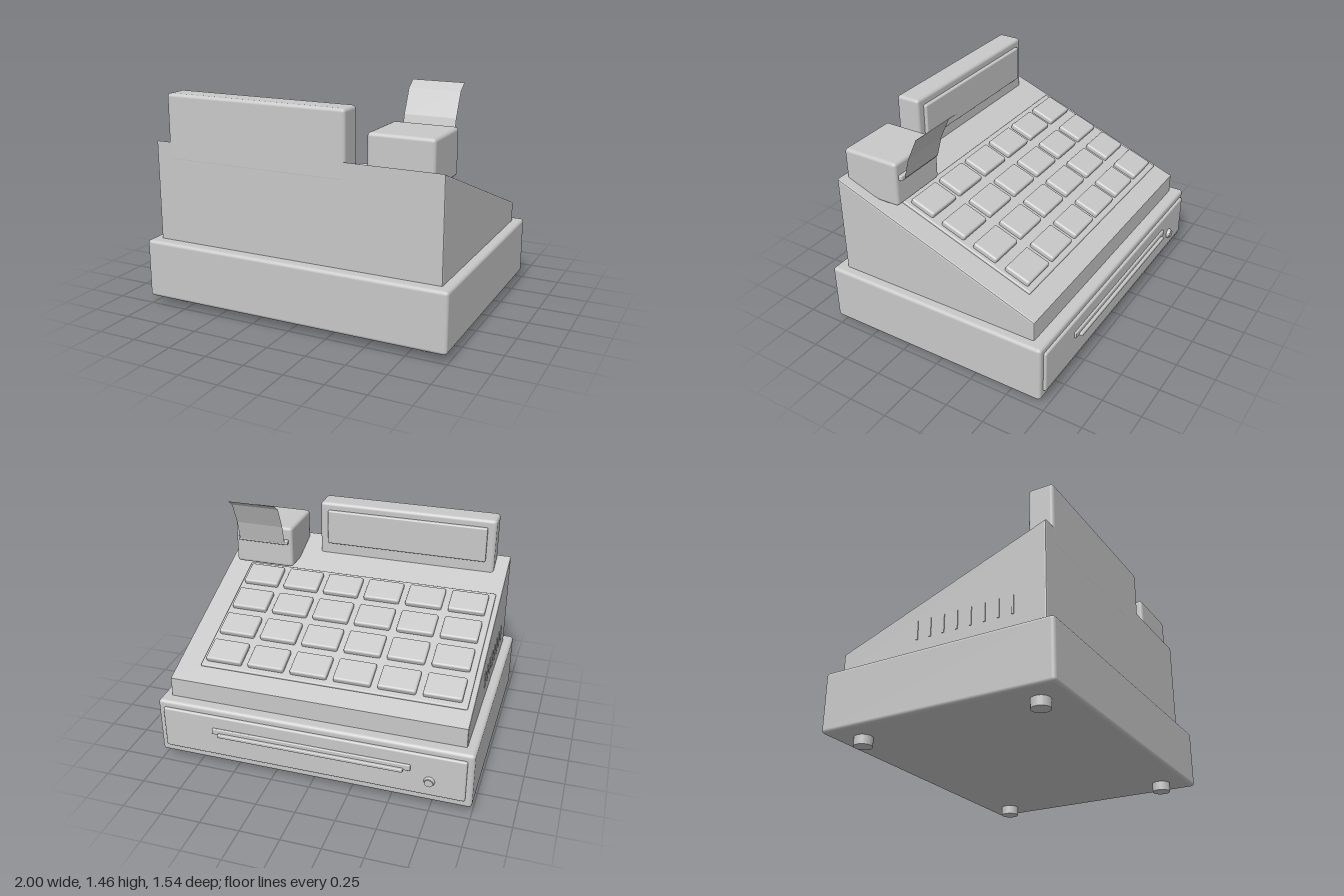
import * as THREE from 'three';
import { RoundedBoxGeometry } from 'three/addons/geometries/RoundedBoxGeometry.js';

const casing = new THREE.MeshStandardMaterial({ color: 0xc8c8c8, side: THREE.DoubleSide });
casing.name = 'grey casing';

const SLOPE = 0.375;
const TILT = Math.atan(SLOPE);
const slopeY = z => 0.555 + (z + 0.65) * SLOPE;

export function createModel() {
  const root = new THREE.Group();
  root.name = 'cashRegister';

  const add = (name, geometry, parent = root) => {
    const mesh = new THREE.Mesh(geometry, casing);
    mesh.name = name;
    parent.add(mesh);
    return mesh;
  };
  // Rounded box given by its limits on each axis
  const box = (name, [x0, x1], [y0, y1], [z0, z1], r) => {
    const mesh = add(name, new RoundedBoxGeometry(x1 - x0, y1 - y0, z1 - z0, 2, r));
    mesh.position.set((x0 + x1) / 2, (y0 + y1) / 2, (z0 + z1) / 2);
    return mesh;
  };
  // Rounded box lying on the sloped top, from height h0 to h1 above it
  const onSlope = (name, x, z, w, depth, h0, h1, r) => {
    const mesh = add(name, new RoundedBoxGeometry(w, h1 - h0, depth / Math.cos(TILT), 2, r));
    const h = (h0 + h1) / 2;
    mesh.position.set(x, slopeY(z) + h * Math.cos(TILT), z - h * Math.sin(TILT));
    mesh.rotation.x = -TILT;
    return mesh;
  };

  // Drawer base and feet
  box('drawerBase', [-1, 1], [0.056, 0.43], [-0.725, 0.77], 0.022);
  for (const x of [-0.828, 0.828]) for (const z of [-0.552, 0.597]) {
    add('foot', new THREE.CylinderGeometry(0.056, 0.056, 0.07, 24)).position.set(x, 0.035, z);
  }

  // Drawer front with its pull and lock
  box('drawerFront', [-0.96, 0.96], [0.107, 0.388], [-0.742, -0.71], 0.012);
  box('pullPlate', [-0.63, 0.63], [0.265, 0.305], [-0.755, -0.735], 0.006);
  box('pullLip', [-0.588, 0.588], [0.257, 0.28], [-0.774, -0.745], 0.006);
  const lock = new THREE.Group();
  lock.name = 'lock';
  lock.position.set(-0.745, 0.21, -0.74);
  lock.rotation.x = -Math.PI / 2;
  root.add(lock);
  add('lockRing', new THREE.CylinderGeometry(0.027, 0.035, 0.022, 24), lock).position.y = 0.009;
  add('lockCore', new THREE.CylinderGeometry(0.024, 0.024, 0.03, 24), lock).position.y = 0.01;

  // Wedge-shaped body, drawn in side profile (z, y)
  const side = new THREE.Shape([[-0.65, 0.42], [0.697, 0.42], [0.697, 1.06], [-0.65, 0.555]]
    .map(([z, y]) => new THREE.Vector2(z, y)));
  const wedge = new THREE.ExtrudeGeometry(side, {
    depth: 1.86, bevelSize: 0.01, bevelThickness: 0.01, bevelOffset: -0.01, bevelSegments: 2,
  });
  wedge.translate(0, 0, -0.93);
  wedge.rotateY(-Math.PI / 2);
  add('body', wedge);

  // Vents on one side
  for (let i = 0; i < 8; i++) {
    add('vent', new THREE.BoxGeometry(0.01, 0.115, 0.014)).position.set(-0.94, 0.583, -0.13 + i * 0.089);
  }

  // Keypad: plate and four rows of six keys
  onSlope('keyPlate', -0.061, -0.087, 1.69, 0.88, -0.01, 0.014, 0.008);
  for (let row = 0; row < 4; row++) for (let col = 0; col < 6; col++) {
    onSlope('key', -0.75 + col * 0.278, -0.415 + row * 0.2165, 0.236, 0.158, 0.006, 0.047, 0.013);
  }

  // Display
  box('displayHousing', [-0.85, 0.345], [0.94, 1.36], [0.537, 0.698], 0.022);
  box('displayScreen', [-0.795, 0.287], [1.075, 1.31], [0.515, 0.55], 0.01);

  // Receipt printer with its slot
  box('printer', [0.47, 0.873], [0.956, 1.24], [0.308, 0.681], 0.022);
  box('paperSlot', [0.495, 0.848], [1.123, 1.157], [0.285, 0.32], 0.008);

  // Receipt: a thin sheet bent through four lines
  const bends = [[1.14, 0.276], [1.27, 0.243], [1.415, 0.178], [1.458, 0.118]];
  const sheet = new THREE.PlaneGeometry(0.32, 1, 1, 3);
  const p = sheet.attributes.position;
  for (let i = 0; i < p.count; i++) {
    const [y, z] = bends[3 - Math.floor(i / 2)];
    p.setXYZ(i, p.getX(i) + 0.671, y, z);
  }
  const flat = sheet.toNonIndexed();
  flat.computeVertexNormals();
  add('receipt', flat);

  return root;
}
